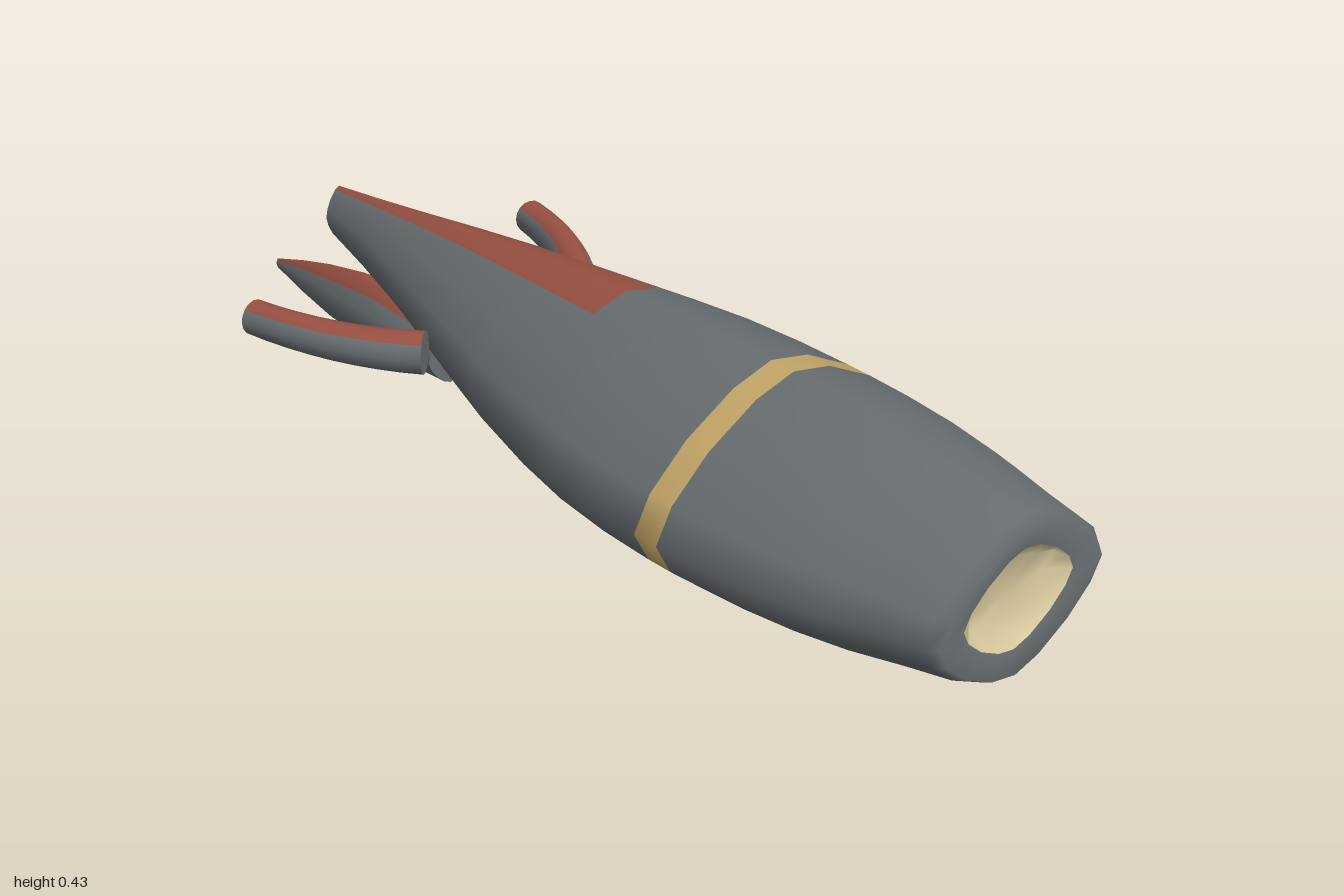
import * as THREE from 'three';

const material = (name, color) => Object.assign(new THREE.MeshStandardMaterial({ color }), { name });

// Quarter outline of the softly pointed section, mirrored to 16 points, clockwise from the top
const QUARTER = [[0, 1], [0.286, 0.9], [0.63, 0.63], [0.89, 0.3]];
const POINTED = [
  ...QUARTER,
  [1, 0], ...QUARTER.slice(1).reverse().map(([x, y]) => [x, -y]),
  ...QUARTER.map(([x, y]) => [-x, -y]),
  [-1, 0], ...QUARTER.slice(1).reverse().map(([x, y]) => [-x, y]),
];
const SIDES = POINTED.length;
const ROUND = POINTED.map((_, j) => {
  const a = (j / SIDES) * Math.PI * 2;
  return [Math.sin(a), Math.cos(a)];
});

// Section ring square to the z axis
function ring(z, rx, top, bottom) {
  const cy = (top + bottom) / 2, ry = (top - bottom) / 2;
  return POINTED.map(([x, y]) => new THREE.Vector3(x * rx, cy + y * ry, z));
}

function centreRing(points) {
  const c = points.reduce((s, p) => s.add(p), new THREE.Vector3()).divideScalar(points.length);
  return points.map(() => c.clone());
}

// Skin a list of rings running front to back; colourOf gives a material index per quad
function loft(name, rings, materials, colourOf = () => 0) {
  const buckets = materials.map(() => []);
  for (let k = 0; k < rings.length - 1; k++) {
    for (let j = 0; j < SIDES; j++) {
      const n = (j + 1) % SIDES;
      const a = k * SIDES + j, b = k * SIDES + n, c = a + SIDES, d = b + SIDES;
      buckets[colourOf(k, j)].push(a, b, c, b, d, c);
    }
  }
  const geometry = new THREE.BufferGeometry().setFromPoints(rings.flat());
  geometry.setIndex(buckets.flat());
  let start = 0;
  buckets.forEach((bucket, i) => {
    geometry.addGroup(start, bucket.length, i);
    start += bucket.length;
  });
  geometry.computeVertexNormals();
  const mesh = new THREE.Mesh(geometry, materials);
  mesh.name = name;
  return mesh;
}

const frontCap = (name, r, mat) => loft(name, [centreRing(r), r], [mat]);
const rearCap = (name, r, mat) => loft(name, [r, centreRing(r)], [mat]);
const nearTop = (j, count) => j < count || j >= SIDES - count;

export function createModel() {
  const grey = material('hull grey', 0x686e71);
  const red = material('stripe red', 0x9a5143);
  const gold = material('band gold', 0xc4a768);
  const sand = material('nose sand', 0xd6c79c);
  const model = new THREE.Group();
  model.name = 'spacecraft';

  // Hull: z, half width, top, bottom; begins with the nose face
  const stations = [
    [0.99, 0.128, 0.335, 0.15],
    [0.998, 0.19, 0.378, 0.106],
    [0.98, 0.207, 0.389, 0.097],
    [0.9, 0.226, 0.4, 0.078],
    [0.8, 0.255, 0.414, 0.054],
    [0.7, 0.277, 0.423, 0.037],
    [0.6, 0.29, 0.428, 0.024],
    [0.51, 0.296, 0.43, 0.017],
    [0.46, 0.297, 0.43, 0.015],
    [0.35, 0.295, 0.43, 0.013],
    [0.23, 0.285, 0.427, 0.017],
    [0.11, 0.263, 0.42, 0.026],
    [-0.05, 0.223, 0.408, 0.044],
    [-0.2, 0.177, 0.395, 0.068],
    [-0.35, 0.13, 0.378, 0.098],
    [-0.5, 0.087, 0.358, 0.134],
    [-0.63, 0.055, 0.341, 0.169],
    [-0.75, 0.035, 0.325, 0.203],
  ];
  const hullRings = stations.map((s) => ring(...s));
  model.add(loft('hull', hullRings, [grey, gold, red], (k, j) => {
    const z = stations[k][0];
    if (z === 0.51) return 1;
    return z <= 0.11 && nearTop(j, 1) ? 2 : 0;
  }));
  model.add(rearCap('hullRearCap', hullRings.at(-1), grey));

  // Nose inset: an oval running in to a sunken, twisted four-cornered floor
  const corners = [[-0.03, 0.073], [0.105, 0.03], [0.03, -0.073], [-0.105, -0.028]];
  const floor = POINTED.map((_, j) => {
    const u = (j + 1) / 4, i = Math.floor(u) % 4;
    const [p, q] = [corners[i], corners[(i + 1) % 4]];
    const t = u % 1;
    return new THREE.Vector3(p[0] + (q[0] - p[0]) * t, 0.242 + p[1] + (q[1] - p[1]) * t, 0.965);
  });
  model.add(loft('noseInset', [centreRing(floor), floor, hullRings[0].map((p) => p.clone())], [sand]));

  // Curved side fins
  for (const side of [1, -1]) {
    const curve = new THREE.QuadraticBezierCurve3(
      new THREE.Vector3(side * 0.185, 0.224, -0.23),
      new THREE.Vector3(side * 0.3, 0.224, -0.36),
      new THREE.Vector3(side * 0.338, 0.221, -0.557),
    );
    const up = new THREE.Vector3(0, 1, 0);
    const rings = Array.from({ length: 9 }, (_, i) => {
      const t = i / 8, r = 0.041 - 0.006 * t;
      const across = curve.getTangent(t).cross(up).normalize();
      return ROUND.map(([x, y]) => curve.getPoint(t).addScaledVector(across, x * r * 0.95).addScaledVector(up, y * r));
    });
    const fin = new THREE.Group();
    fin.name = side > 0 ? 'leftFin' : 'rightFin';
    fin.add(
      loft('finTube', rings, [grey, red], (k, j) => (nearTop(j, 2) ? 1 : 0)),
      frontCap('finFrontCap', rings[0], grey),
      rearCap('finRearCap', rings.at(-1), grey),
    );
    model.add(fin);
  }

  // Pointed tail pod below the stern
  const podRings = [
    [-0.4, 0.052, 0.142, 0.021],
    [-0.5, 0.056, 0.162, 0.013],
    [-0.6, 0.055, 0.166, 0.007],
    [-0.7, 0.047, 0.152, 0.003],
    [-0.8, 0.034, 0.13, 0.008],
    [-0.9, 0.019, 0.102, 0.024],
    [-1, 0.004, 0.069, 0.047],
  ].map((s) => ring(...s));
  const pod = new THREE.Group();
  pod.name = 'tailPod';
  pod.add(
    loft('podBody', podRings, [grey, red], (k, j) => (nearTop(j, 2) ? 1 : 0)),
    frontCap('podFrontCap', podRings[0], grey),
    rearCap('podTip', podRings.at(-1), grey),
  );
  model.add(pod);
  return model;
}
